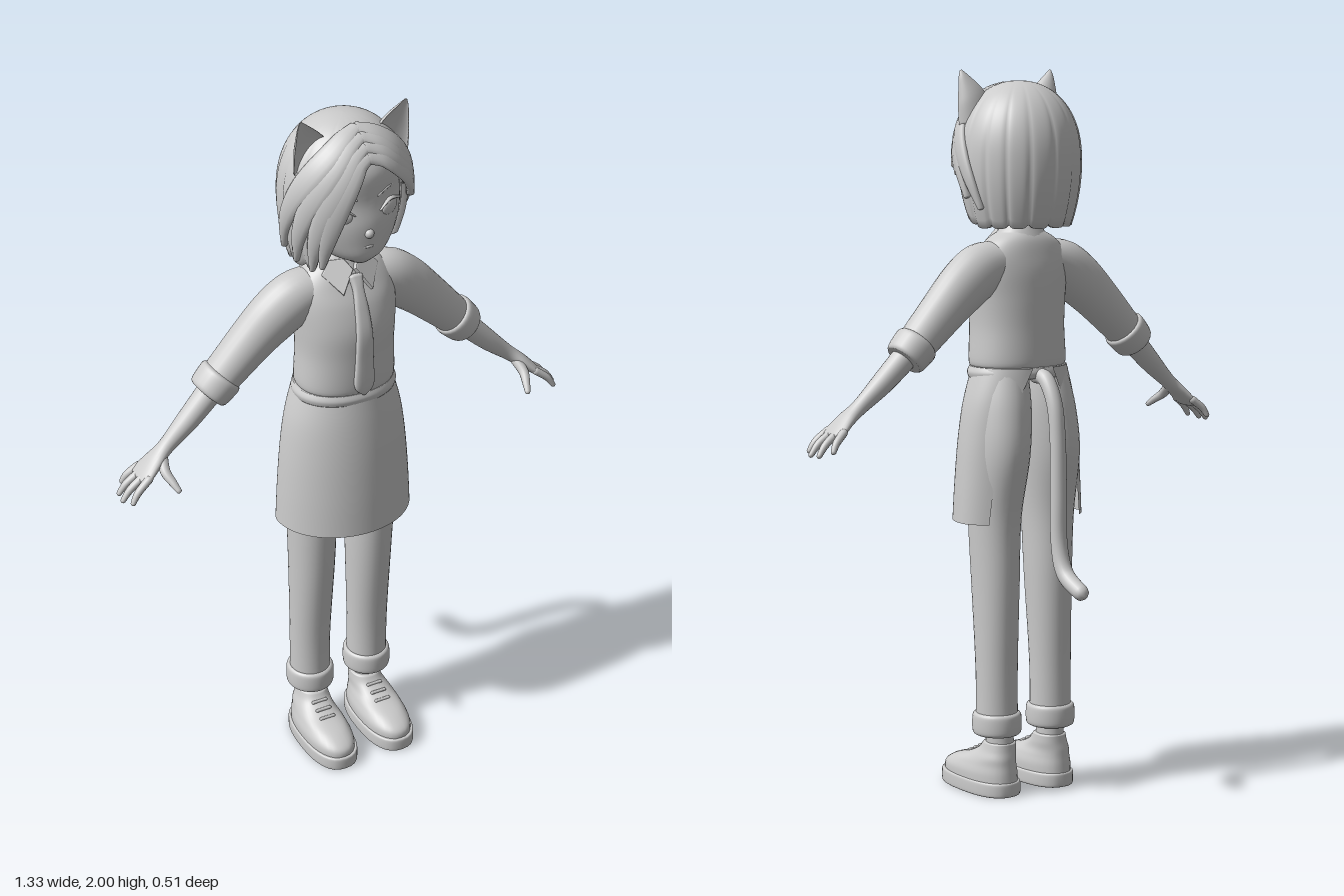
import * as THREE from 'three';

const V = (x, y, z) => new THREE.Vector3(x, y, z);
const Z = V(0, 0, 1), X = V(1, 0, 0), Y = V(0, 1, 0);
const grey = new THREE.MeshStandardMaterial({ color: 0xcccccc });
const thin = new THREE.MeshStandardMaterial({ color: 0xcccccc, side: THREE.DoubleSide });
const mix = THREE.MathUtils.lerp;

function add(parent, name, geometry, material = grey) {
  const mesh = new THREE.Mesh(geometry, material);
  mesh.name = name;
  parent.add(mesh);
  return mesh;
}

// Indexed surface from rows of points, optionally closed around each row
function skin(rows, closed = true) {
  const n = rows[0].length, pos = [], idx = [];
  rows.forEach(r => r.forEach(p => pos.push(p.x, p.y, p.z)));
  for (let j = 0; j < rows.length - 1; j++)
    for (let i = 0; i < (closed ? n : n - 1); i++) {
      const k = (i + 1) % n, a = j * n + i, b = j * n + k;
      idx.push(a, b, b + n, a, b + n, a + n);
    }
  const g = new THREE.BufferGeometry();
  g.setAttribute('position', new THREE.Float32BufferAttribute(pos, 3));
  g.setIndex(idx);
  g.computeVertexNormals();
  return g;
}

// Smooth interpolation through rows of equal length
function spline(rows, t) {
  const f = t * (rows.length - 1), i = Math.min(Math.floor(f), rows.length - 2), u = f - i;
  const at = k => rows[Math.max(0, Math.min(rows.length - 1, k))];
  return rows[0].map((_, c) => {
    const [p, q, r, s] = [at(i - 1)[c], at(i)[c], at(i + 1)[c], at(i + 2)[c]];
    return q + 0.5 * u * (r - p + u * (2 * p - 5 * q + 4 * r - s + u * (3 * (q - r) + s - p)));
  });
}

// Sweeps an oval along rows of [x, y, z, halfWidth, halfDepth]; depth follows the normal
function sweep(rows, { normal = Z, level = false, segs = 24, steps = 6, cap = 0.5, power = 2, front = 1 } = {}) {
  const n = (rows.length - 1) * steps, rings = [];
  const curl = v => Math.sign(v) * Math.abs(v) ** (2 / power);
  const ring = (t, scale, push) => {
    const [x, y, z, w, d] = spline(rows, t);
    const a = spline(rows, Math.max(0, t - 0.01)), b = spline(rows, Math.min(1, t + 0.01));
    const T = level ? Y : V(b[0] - a[0], b[1] - a[1], b[2] - a[2]).normalize();
    const N = (typeof normal === 'function' ? normal(V(x, y, z)) : normal.clone());
    N.addScaledVector(T, -N.dot(T)).normalize();
    const B = N.clone().cross(T), out = [];
    for (let i = 0; i < segs; i++) {
      const u = i / segs * Math.PI * 2, s = curl(Math.sin(u));
      out.push(V(x, y, z).addScaledVector(T, push * Math.min(w, d))
        .addScaledVector(B, curl(Math.cos(u)) * w * scale)
        .addScaledVector(N, s * d * scale * (s > 0 ? front : 1)));
    }
    rings.push(out);
  };
  for (const a of [1.57, 1.05, 0.52]) ring(0, Math.cos(a), -Math.sin(a) * cap);
  for (let j = 0; j <= n; j++) ring(j / n, 1, 0);
  for (const a of [0.52, 1.05, 1.57]) ring(1, Math.cos(a), Math.sin(a) * cap);
  return skin(rings);
}

// Point on the bob at angle a (0 = front, positive = left) and height y
function hairPoint(a, y, k = 1) {
  const up = Math.min(1, Math.max(0, (y - 1.75) / 0.22)), low = Math.max(0, (1.75 - y) / 0.175);
  const r = k * (up > 0 ? (1 - up ** 2.3) ** 0.476 : 1 - 0.17 * low * low);
  return V(Math.sin(a) * 0.174 * r, y, 0.05 + Math.cos(a) * 0.17 * r);
}

const hem = [[-3.2, 1.575], [-1.0, 1.58], [-0.8, 1.66], [-0.68, 1.82], [-0.2, 1.9], [0.15, 1.9],
  [0.9, 1.79], [1.2, 1.75], [1.4, 1.6], [1.6, 1.575], [3.2, 1.575]];
function hemAt(a) {
  const i = Math.max(1, hem.findIndex(h => h[0] >= a)), [p, q] = [hem[i - 1], hem[i]];
  return mix(p[1], q[1], (a - p[0]) / (q[0] - p[0]));
}

function buildHair(g) {
  // Shell: outer layer down to the hem, then folded inside
  const rows = [], n = 180;
  for (let j = 0; j <= 40; j++) {
    const inner = j > 30, s = inner ? 1 - (j - 31) / 18 : j / 30, row = [];
    for (let i = 0; i < n; i++) {
      const a = Math.PI - i / n * Math.PI * 2;
      const strand = Math.abs(Math.sin(a * 8 + 0.3 * Math.sin(a * 3)));
      const end = hemAt(a) + 0.012 * (1 - strand) ** 2;
      const k = (inner ? 0.9 : 1) * (1 - 0.04 * s * (1 - strand) ** 3);
      row.push(hairPoint(a, 1.97 - (1.97 - end) * (1 - Math.cos(s * Math.PI / 2)), k));
    }
    rows.push(row);
  }
  add(g, 'hairShell', skin(rows), thin);

  // Locks sweeping from the parting to each side: start height, end angle, end height
  const locks = [[1.9, 1.08, 1.74], [1.92, 1.3, 1.72], [1.94, 1.55, 1.66], [1.955, 1.85, 1.63],
    [1.9, -0.82, 1.6], [1.92, -1.02, 1.585], [1.94, -1.35, 1.6], [1.955, -1.7, 1.62]];
  const outward = p => p.sub(V(0, 1.77, 0.05)).normalize();
  for (const [y0, a1, y1] of locks) {
    const path = [];
    for (let k = 0; k <= 7; k++) {
      const t = k / 7, p = hairPoint(a1 * t ** 0.7, mix(y0, y1, t ** 1.6), 1.01);
      path.push([p.x, p.y, p.z, 0.004 + 0.03 * Math.sin(Math.PI * (0.12 + 0.86 * t)) ** 0.7, 0.011]);
    }
    add(g, 'hairLock', sweep(path, { normal: outward, segs: 12, steps: 4 }));
  }
}

function buildHead(g) {
  add(g, 'face', sweep([[0, 1.598, 0.13, 0.035, 0.045], [0, 1.62, 0.103, 0.083, 0.09], [0, 1.66, 0.075, 0.122, 0.122],
    [0, 1.71, 0.06, 0.143, 0.137], [0, 1.77, 0.05, 0.15, 0.137], [0, 1.85, 0.05, 0.142, 0.135],
    [0, 1.92, 0.05, 0.095, 0.09]], { level: true, segs: 40, cap: 0.3 }));
  add(g, 'neck', sweep([[0, 1.5, 0.035, 0.05, 0.045], [0, 1.64, 0.045, 0.045, 0.045]], { level: true }));
  const nose = add(g, 'nose', new THREE.SphereGeometry(0.013, 16, 12));
  nose.position.set(0, 1.69, 0.196);
  add(g, 'mouth', sweep([[-0.022, 1.65, 0.19, 0.002, 0.003], [0, 1.653, 0.195, 0.004, 0.005],
    [0.022, 1.65, 0.19, 0.002, 0.003]], { segs: 8 }));
  for (const s of [-1, 1]) {
    const eye = add(g, 'eye', new THREE.SphereGeometry(1, 24, 16));
    eye.scale.set(0.033, 0.022, 0.01);
    eye.position.set(s * 0.072, 1.74, 0.17);
    eye.rotation.y = s * 0.5;
    add(g, 'eyelid', sweep([[s * 0.036, 1.744, 0.187, 0.002, 0.004], [s * 0.07, 1.765, 0.176, 0.004, 0.007],
      [s * 0.112, 1.748, 0.147, 0.003, 0.005]], { segs: 8 }));
    add(g, 'eyebrow', sweep([[s * 0.03, 1.785, 0.183, 0.003, 0.004], [s * 0.065, 1.798, 0.171, 0.004, 0.005],
      [s * 0.1, 1.793, 0.148, 0.002, 0.003]], { segs: 8 }));
    const ear = add(g, 'ear', new THREE.SphereGeometry(1, 16, 12));
    ear.scale.set(0.012, 0.035, 0.024);
    ear.position.set(s * 0.15, 1.72, 0.065);
    // Cupped cat ear, hollow toward the front
    add(g, 'catEar', sweep([[s * 0.105, 1.865, 0.1, 0.06, 0.042], [s * 0.122, 1.925, 0.103, 0.044, 0.034],
      [s * 0.142, 1.975, 0.108, 0.018, 0.016], [s * 0.15, 1.998, 0.11, 0.003, 0.003]], { front: -0.35, cap: 0 }), thin);
  }
}

function buildClothes(g) {
  add(g, 'shirt', sweep([[0, 1.192, 0.057, 0.13, 0.105], [0, 1.21, 0.058, 0.139, 0.112], [0, 1.3, 0.06, 0.135, 0.112],
    [0, 1.38, 0.06, 0.139, 0.111], [0, 1.45, 0.053, 0.144, 0.1], [0, 1.5, 0.045, 0.138, 0.083],
    [0, 1.54, 0.04, 0.105, 0.067], [0, 1.565, 0.04, 0.06, 0.052]], { level: true, segs: 48, power: 2.2, cap: 0 }));
  add(g, 'waistband', sweep([[0, 1.165, 0.056, 0.144, 0.113], [0, 1.18, 0.056, 0.147, 0.116], [0, 1.196, 0.056, 0.14, 0.111]],
    { level: true, segs: 48, power: 2.1, cap: 0 }));
  add(g, 'collarBand', sweep([[0, 1.53, 0.04, 0.088, 0.07], [0, 1.555, 0.04, 0.073, 0.06], [0, 1.58, 0.04, 0.056, 0.05]],
    { level: true, cap: 0 }));
  for (const s of [-1, 1]) {
    const flap = new THREE.Shape([[0.004, 0.005], [0.042, -0.052], [0.082, 0.01], [0.055, 0.04], [0.02, 0.035]]
      .map(([x, y]) => new THREE.Vector2(s * x, y)));
    const mesh = add(g, 'collarPoint', new THREE.ExtrudeGeometry(flap, { depth: 0.008, bevelSize: 0.003, bevelThickness: 0.003, bevelSegments: 2 }));
    mesh.position.set(0, 1.54, 0.113);
    mesh.rotation.set(-0.6, s * 0.35, 0);
  }
  add(g, 'tie', sweep([[0, 1.53, 0.122, 0.02, 0.014], [0, 1.5, 0.138, 0.015, 0.012], [0, 1.45, 0.158, 0.019, 0.01],
    [0, 1.38, 0.175, 0.023, 0.01], [0, 1.3, 0.176, 0.026, 0.01], [0, 1.225, 0.175, 0.028, 0.01], [0, 1.198, 0.173, 0.006, 0.006]],
  { power: 3 }));

  // Apron open at the back: y, half width, front depth, edge angle
  const cut = [[1.195, 0.138, 0.12, 2.9], [1.1, 0.166, 0.137, 2.65], [1.0, 0.181, 0.15, 2.45], [0.88, 0.191, 0.16, 2.32], [0.77, 0.197, 0.166, 2.25]];
  const rows = [];
  for (let j = 24; j >= 0; j--) {
    const [y, w, d, edge] = spline(cut, j / 24), row = [];
    for (let i = 0; i <= 60; i++) {
      const a = mix(-edge, edge, i / 60), c = Math.cos(a);
      row.push(V(Math.sin(a) * w, y, 0.045 + c * (c > 0 ? d : 0.11)));
    }
    rows.push(row);
  }
  add(g, 'apron', skin(rows, false), thin);
  add(g, 'tail', sweep([[0, 1.17, -0.03, 0.02, 0.02], [0, 1.165, -0.075, 0.022, 0.022], [0, 1.1, -0.115, 0.022, 0.022],
    [0, 1.0, -0.13, 0.022, 0.022], [0, 0.85, -0.134, 0.023, 0.023], [0, 0.72, -0.137, 0.023, 0.023],
    [0, 0.64, -0.165, 0.024, 0.024], [0, 0.6, -0.235, 0.022, 0.022]], { normal: X, cap: 1 }));
}

function buildArm(g, s) {
  const side = rows => rows.map(([x, ...r]) => [s * x, ...r]);
  add(g, 'sleeve', sweep(side([[0.06, 1.49, 0.04, 0.05, 0.06], [0.13, 1.465, 0.04, 0.072, 0.066], [0.19, 1.424, 0.036, 0.073, 0.065],
    [0.26, 1.362, 0.032, 0.064, 0.06], [0.375, 1.25, 0.03, 0.05, 0.054]])));
  add(g, 'sleeveCuff', sweep(side([[0.345, 1.28, 0.03, 0.053, 0.056], [0.353, 1.272, 0.03, 0.061, 0.063],
    [0.384, 1.241, 0.03, 0.057, 0.06], [0.392, 1.233, 0.03, 0.05, 0.054]]), { cap: 0 }));
  add(g, 'forearm', sweep(side([[0.36, 1.265, 0.033, 0.036, 0.038], [0.45, 1.178, 0.04, 0.03, 0.032], [0.52, 1.117, 0.046, 0.021, 0.024],
    [0.56, 1.085, 0.051, 0.018, 0.036], [0.59, 1.058, 0.052, 0.015, 0.046], [0.605, 1.045, 0.052, 0.012, 0.044]])));
  [[0.014, 0.633, -0.002, 1.01], [0.039, 0.656, 0.032, 0.998], [0.064, 0.66, 0.067, 0.997], [0.088, 0.645, 0.1, 1.003]]
    .forEach(([z0, x1, z1, y1]) => add(g, 'finger', sweep(side([[0.592, 1.056, z0, 0.011, 0.012],
      [mix(0.6, x1, 0.6), mix(1.05, y1, 0.45), mix(z0, z1, 0.6), 0.01, 0.011], [x1, y1, z1, 0.007, 0.008]]), { segs: 12, cap: 1 })));
  add(g, 'thumb', sweep(side([[0.54, 1.095, 0.06, 0.014, 0.015], [0.548, 1.07, 0.095, 0.013, 0.014],
    [0.54, 1.05, 0.125, 0.01, 0.011], [0.533, 1.035, 0.145, 0.007, 0.008]]), { normal: X, segs: 12, cap: 1 }));
}

function buildLeg(g, s) {
  const x = s * 0.092, up = { level: true, segs: 32 };
  add(g, 'trouserLeg', sweep([[x, 0.18, 0.028, 0.058, 0.06], [x, 0.35, 0.029, 0.058, 0.06], [s * 0.09, 0.6, 0.037, 0.064, 0.074],
    [s * 0.09, 0.78, 0.04, 0.069, 0.084], [s * 0.085, 0.95, 0.028, 0.08, 0.1], [s * 0.075, 1.08, 0.035, 0.08, 0.1],
    [s * 0.065, 1.19, 0.048, 0.068, 0.09]], { ...up, cap: 0 }));
  add(g, 'trouserCuff', sweep([[x, 0.17, 0.028, 0.058, 0.062], [x, 0.18, 0.028, 0.067, 0.07], [x, 0.222, 0.028, 0.067, 0.07],
    [x, 0.233, 0.028, 0.06, 0.063]], { ...up, cap: 0 }));
  add(g, 'ankle', sweep([[s * 0.085, 0.09, 0.022, 0.037, 0.042], [s * 0.088, 0.2, 0.022, 0.038, 0.042]], up));
  add(g, 'sole', sweep([[x, 0, 0.107, 0.068, 0.144], [x, 0.006, 0.107, 0.072, 0.148], [x, 0.034, 0.107, 0.072, 0.148],
    [x, 0.04, 0.107, 0.068, 0.144]], { ...up, power: 2.5, cap: 0 }));
  add(g, 'shoeUpper', sweep([[x, 0.03, 0.105, 0.067, 0.142], [x, 0.06, 0.104, 0.067, 0.139], [x, 0.084, 0.085, 0.06, 0.117],
    [x, 0.104, 0.052, 0.052, 0.082], [s * 0.088, 0.125, 0.032, 0.046, 0.058], [s * 0.086, 0.146, 0.024, 0.042, 0.047]],
  { ...up, power: 2.3, cap: 0.15 }));
  for (let i = 0; i < 3; i++) {
    const lace = add(g, 'shoeLace', new THREE.CapsuleGeometry(0.005, 0.04, 4, 8));
    lace.position.set(s * 0.09, 0.103 + i * 0.012, 0.134 - i * 0.025);
    lace.rotation.z = Math.PI / 2;
  }
}

export function createModel() {
  const model = new THREE.Group();
  model.name = 'catEaredFigure';
  const part = (name, build, ...args) => {
    const g = new THREE.Group();
    g.name = name;
    build(g, ...args);
    model.add(g);
  };
  part('head', buildHead);
  part('hair', buildHair);
  part('clothes', buildClothes);
  for (const [side, s] of [['left', 1], ['right', -1]]) {
    part(side + 'Arm', buildArm, s);
    part(side + 'Leg', buildLeg, s);
  }
  return model;
}
